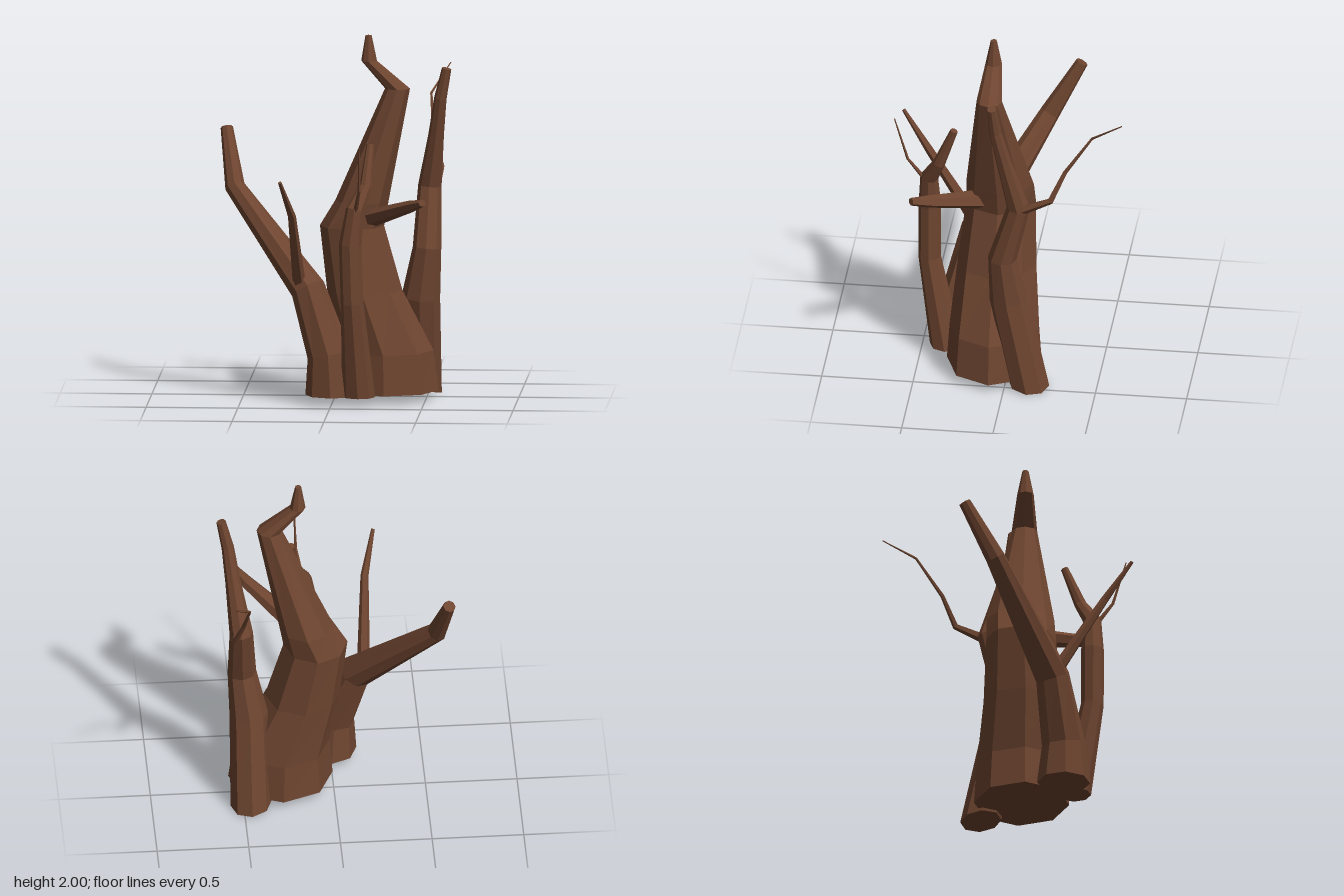
import * as THREE from 'three';

const bark = new THREE.MeshStandardMaterial({ color: 0x6e4530 });
bark.name = 'brown bark';
bark.flatShading = true;

// Faceted tapering limb through stations [x, y, z, radius, radiusZ?].
// Rings lie across the path, or level when "level" is set; baseNormal tilts the first ring.
function limb(name, stations, sides, { level = false, baseNormal = null } = {}) {
  const centres = stations.map(s => new THREE.Vector3(s[0], s[1], s[2]));
  const last = centres.length - 1;
  const rings = centres.map((c, i) => {
    const t = new THREE.Vector3(0, 1, 0);
    if (!level) {
      t.set(0, 0, 0);
      if (i > 0) t.add(c.clone().sub(centres[i - 1]).normalize());
      if (i < last) t.add(centres[i + 1].clone().sub(c).normalize());
      t.normalize();
    }
    if (i === 0 && baseNormal) t.set(...baseNormal).normalize();
    const u = new THREE.Vector3(1, 0, 0).addScaledVector(t, -t.x).normalize();
    const w = t.clone().cross(u);
    const ru = stations[i][3], rw = stations[i][4] ?? ru;
    return Array.from({ length: sides }, (_, j) => {
      const a = (j / sides) * Math.PI * 2;
      return c.clone().addScaledVector(u, ru * Math.cos(a)).addScaledVector(w, rw * Math.sin(a));
    });
  });

  const pos = [];
  const tri = (...pts) => pts.forEach(p => pos.push(p.x, p.y, p.z));
  for (let j = 0; j < sides; j++) {
    const k = (j + 1) % sides;
    for (let i = 0; i < last; i++) {
      const a = rings[i][j], b = rings[i][k], c = rings[i + 1][k], d = rings[i + 1][j];
      tri(a, b, c);
      tri(a, c, d);
    }
    tri(centres[0], rings[0][k], rings[0][j]);
    tri(centres[last], rings[last][j], rings[last][k]);
  }
  const geo = new THREE.BufferGeometry();
  geo.setAttribute('position', new THREE.Float32BufferAttribute(pos, 3));
  geo.computeVertexNormals();
  const mesh = new THREE.Mesh(geo, bark);
  mesh.name = name;
  return mesh;
}

export function createModel() {
  const tree = new THREE.Group();
  tree.name = 'deadTree';

  // Thick central trunk with a hooked tip
  tree.add(limb('mainTrunk', [
    [0.285, 0.05, 0.08, 0.285, 0.26],
    [0.28, 0.27, 0.08, 0.26, 0.245],
    [0.165, 0.6, 0.08, 0.205, 0.215],
    [0.095, 0.95, 0.065, 0.175, 0.19],
    [0.15, 1.09, 0.065, 0.145, 0.185],
    [0.345, 1.71, 0.1, 0.068, 0.07],
    [0.19, 1.86, 0.095, 0.043, 0.045],
    [0.187, 2.0, 0.095, 0.017, 0.017],
  ], 8, { level: true }));

  // Side stem sweeping out and back
  tree.add(limb('sweepingStem', [
    [0, 0.05, 0.29, 0.145],
    [-0.015, 0.27, 0.29, 0.12],
    [-0.135, 0.62, 0.22, 0.095],
    [-0.555, 1.13, -0.12, 0.055],
    [-0.61, 1.43, -0.29, 0.034],
  ], 8, { baseNormal: [0, 1, 0] }));
  tree.add(limb('sweepingStemTwig', [
    [-0.18, 0.64, 0.24, 0.036],
    [-0.205, 1.06, 0.5, 0.022],
    [-0.262, 1.265, 0.645, 0.01],
  ], 6));

  // Slim stem at the front
  tree.add(limb('frontStem', [
    [0.15, 0.05, 0.36, 0.09],
    [0.12, 0.58, 0.455, 0.062],
    [0.11, 0.9, 0.455, 0.062],
    [0.135, 1.09, 0.455, 0.05],
    [0.19, 1.21, 0.395, 0.034],
    [0.21, 1.43, 0.31, 0.021],
  ], 8, { baseNormal: [0, 1, 0] }));
  tree.add(limb('frontStemTwig', [
    [0.135, 1.06, 0.47, 0.014],
    [0.165, 1.21, 0.57, 0.008],
    [0.17, 1.46, 0.642, 0.003],
  ], 4));

  // Short stub branch on the trunk
  tree.add(limb('stubBranch', [
    [0.19, 1.0, 0.16, 0.06, 0.05],
    [0.44, 1.11, 0.42, 0.038, 0.032],
    [0.505, 1.14, 0.51, 0.024, 0.02],
  ], 6));

  // Tall stem at the back
  tree.add(limb('backStem', [
    [0.46, 0.02, -0.13, 0.113],
    [0.465, 0.55, -0.02, 0.105],
    [0.5, 0.82, 0.01, 0.078],
    [0.51, 1.15, -0.08, 0.064],
    [0.55, 1.45, -0.005, 0.042],
    [0.575, 1.65, 0.04, 0.034],
    [0.61, 1.815, 0.055, 0.026],
  ], 8, { baseNormal: [0.12, 1, -0.1] }));
  tree.add(limb('backStemTwig', [
    [0.54, 1.15, -0.1, 0.028],
    [0.56, 1.23, -0.26, 0.018],
    [0.515, 1.39, -0.335, 0.012],
    [0.492, 1.6, -0.48, 0.007],
    [0.588, 1.745, -0.655, 0.003],
  ], 5));

  return tree;
}
